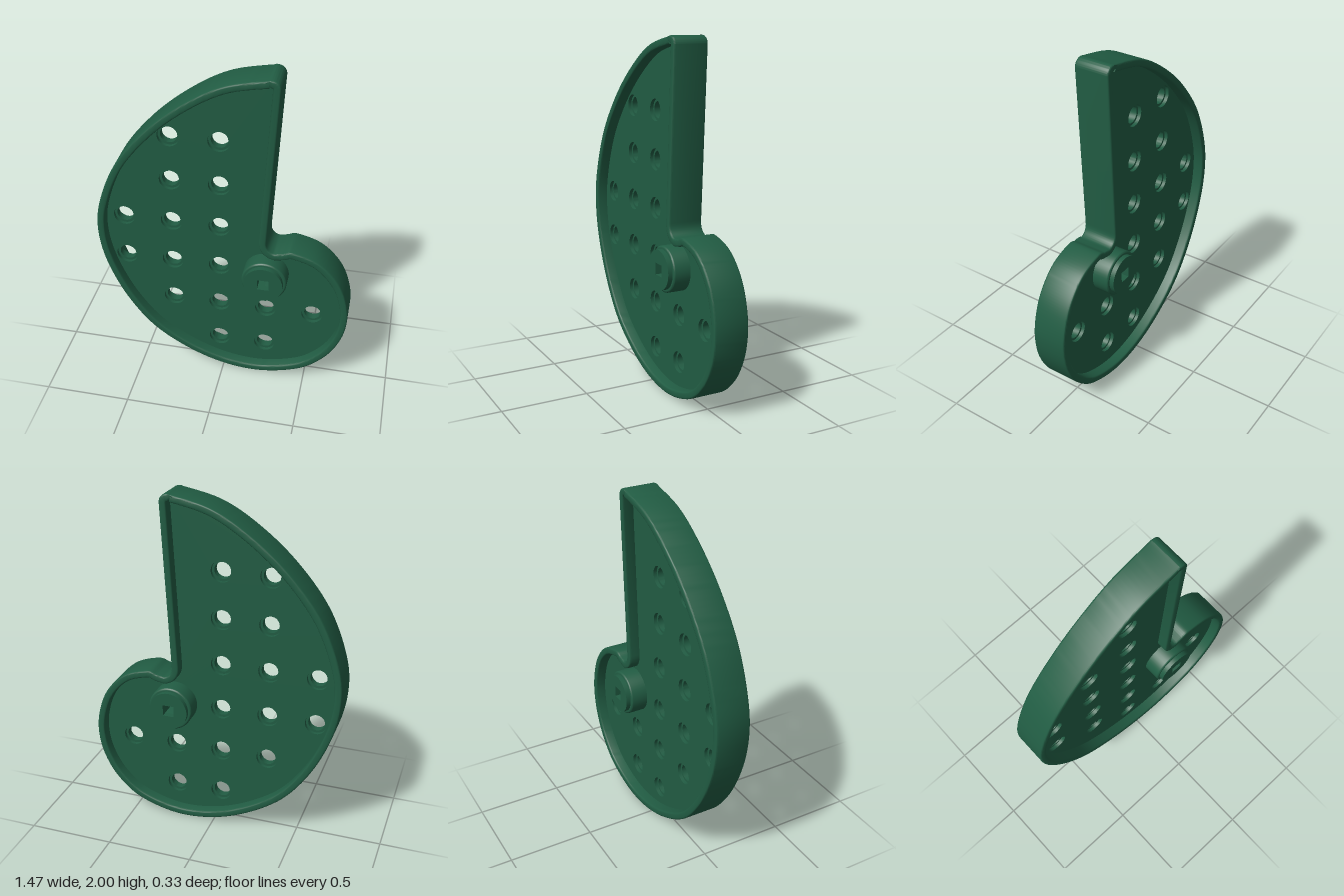
import * as THREE from 'three';
import { toCreasedNormals } from 'three/addons/utils/BufferGeometryUtils.js';

const HUB = [0.245, 0.75];
const PITCH = 0.2785;

// Spiral outline, running clockwise seen from the front
function outlinePoints() {
  const spiral = [
    [0.34, 0.936], [0.4, 0.95], [0.537, 0.905], [0.643, 0.805], [0.706, 0.68], [0.734, 0.52],
    [0.706, 0.35], [0.616, 0.19], [0.458, 0.065], [0.193, 0.004], [-0.1, 0.056], [-0.39, 0.22],
    [-0.574, 0.44], [-0.696, 0.706], [-0.738, 0.945], [-0.708, 1.156], [-0.6, 1.41],
    [-0.415, 1.643], [-0.204, 1.823], [0.008, 1.944], [0.246, 2],
  ].map(([x, y]) => new THREE.Vector2(x, y));
  const path = new THREE.Path();
  path.moveTo(0.295, 0.927);
  path.splineThru(spiral);
  path.absarc(0.25, 1.953, 0.047, 1.66, -0.05, true); // rounded tip
  path.lineTo(0.246, 1.0); // straight step
  path.quadraticCurveTo(0.243, 0.94, 0.295, 0.927); // fillet into the small lobe
  const pts = path.getPoints(8).filter((p, i, a) => i === 0 || p.distanceTo(a[i - 1]) > 1e-4);
  if (pts[0].distanceTo(pts[pts.length - 1]) < 1e-4) pts.pop();
  return pts;
}

// Move a closed clockwise loop inwards by d
function inset(pts, d) {
  const n = pts.length;
  return pts.map((p, i) => {
    const a = p.clone().sub(pts[(i + n - 1) % n]).normalize();
    const b = pts[(i + 1) % n].clone().sub(p).normalize();
    const t = a.add(b).normalize();
    return new THREE.Vector2(p.x + t.y * d, p.y - t.x * d);
  });
}

// Sweep a closed (inset, z) profile round the outline
function rimGeometry(pts) {
  const w = 0.042, h = 0.102, r = 0.01;
  const profile = [[w, -0.03], [w, -h + r]];
  const corner = (cd, cz, start) => {
    for (let k = 0; k <= 3; k++) {
      const a = start + (k * Math.PI) / 6;
      profile.push([cd - r * Math.cos(a), cz + r * Math.sin(a)]);
    }
  };
  profile.pop();
  corner(w - r, -h + r, -Math.PI);
  profile.splice(1, 4);
  // inner back edge, outer back edge, outer front edge, inner front edge
  for (let k = 0; k <= 3; k++) {
    const a = (k * Math.PI) / 6;
    profile.push([w - r + r * Math.cos(a), -h + r - r * Math.sin(a)]);
  }
  corner(r, -h + r, -Math.PI / 2);
  corner(r, h - r, 0);
  corner(w - r, h - r, Math.PI / 2);
  profile.push([w, 0.03]);

  const n = pts.length, m = profile.length, pos = [], idx = [];
  for (const [d, z] of profile) for (const p of inset(pts, d)) pos.push(p.x, p.y, z);
  for (let j = 0; j < m; j++) {
    for (let i = 0; i < n; i++) {
      const i2 = (i + 1) % n, j2 = (j + 1) % m;
      const a = j * n + i, b = j2 * n + i, c = j * n + i2, e = j2 * n + i2;
      idx.push(a, b, c, c, b, e);
    }
  }
  const g = new THREE.BufferGeometry();
  g.setAttribute('position', new THREE.Float32BufferAttribute(pos, 3));
  g.setIndex(idx);
  return toCreasedNormals(g, 0.6);
}

function circleHole(x, y, r) {
  const p = new THREE.Path();
  p.absarc(x, y, r, 0, Math.PI * 2, false);
  return p;
}

export function createModel() {
  const model = new THREE.Group();
  model.name = 'spiralCam';
  const green = new THREE.MeshStandardMaterial({ color: 0x215c43 });
  green.name = 'dark green';
  const add = (name, geometry, z = 0) => {
    const mesh = new THREE.Mesh(geometry, green);
    mesh.name = name;
    mesh.position.z = z;
    model.add(mesh);
  };

  const outline = outlinePoints();
  add('rim', rimGeometry(outline));

  // Grid of holes in pitch steps from the hub
  const cells = [
    [-2, 3], [-1, 3], [-2, 2], [-1, 2], [-3, 1], [-2, 1], [-1, 1], [-3, 0], [-2, 0], [-1, 0],
    [-2, -1], [-1, -1], [0, -1], [1, -1], [-1, -2], [0, -2],
  ];
  // Web in three layers: the outer ones have wider holes, forming counterbores
  const webLayer = (radius, depth) => {
    const shape = new THREE.Shape(inset(outline, 0.025));
    for (const [cx, cy] of cells) {
      shape.holes.push(circleHole(HUB[0] + cx * PITCH, HUB[1] + cy * PITCH, radius));
    }
    shape.holes.push(circleHole(HUB[0], HUB[1], 0.09));
    const g = new THREE.ExtrudeGeometry(shape, { depth, bevelEnabled: false, curveSegments: 16 });
    return toCreasedNormals(g, 0.6);
  };
  add('webCore', webLayer(0.048, 0.04), -0.02);
  add('webFront', webLayer(0.062, 0.02), 0.02);
  add('webBack', webLayer(0.062, 0.02), -0.04);

  // Stepped hub with a square shaft hole
  const hubStep = (radius, half, bevel) => {
    const s = new THREE.Shape();
    s.absarc(0, 0, radius - bevel, 0, Math.PI * 2, false);
    const q = 0.033 + bevel;
    s.holes.push(new THREE.Path([[-q, -q], [-q, q], [q, q], [q, -q]].map(([x, y]) => new THREE.Vector2(x, y))));
    const g = new THREE.ExtrudeGeometry(s, {
      depth: 2 * (half - bevel), bevelEnabled: bevel > 0, bevelSize: bevel,
      bevelThickness: bevel, bevelSegments: 3, curveSegments: 24,
    });
    g.translate(HUB[0], HUB[1], -(half - bevel));
    return toCreasedNormals(g, 0.6);
  };
  add('hubCollar', hubStep(0.13, 0.14, 0.01));
  add('hubBoss', hubStep(0.112, 0.167, 0));

  return model;
}
